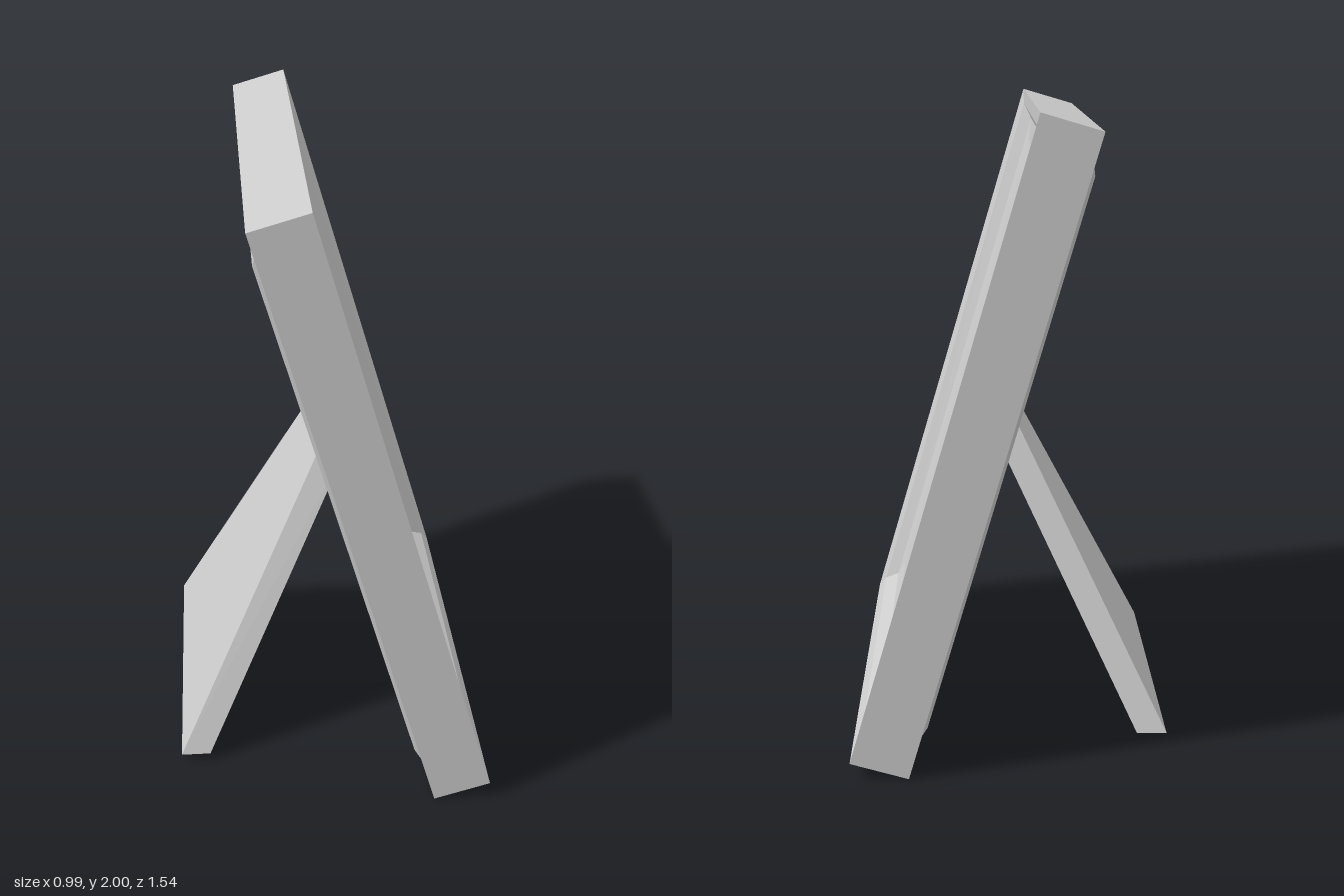
import * as THREE from 'three';

const material = new THREE.MeshStandardMaterial({ color: 0xcccccc, flatShading: true });

// Skins a series of four-cornered rings, with optional end caps.
function loft(name, rings, capStart, capEnd) {
  const pos = [];
  const tri = (a, b, c) => pos.push(...a, ...b, ...c);
  for (let r = 0; r < rings.length - 1; r++) {
    const A = rings[r], B = rings[r + 1];
    for (let i = 0; i < 4; i++) {
      const j = (i + 1) % 4;
      tri(A[i], A[j], B[j]);
      tri(A[i], B[j], B[i]);
    }
  }
  const s = rings[0], e = rings[rings.length - 1];
  if (capStart) { tri(s[0], s[2], s[1]); tri(s[0], s[3], s[2]); }
  if (capEnd) { tri(e[0], e[1], e[2]); tri(e[0], e[2], e[3]); }
  const g = new THREE.BufferGeometry();
  g.setAttribute('position', new THREE.Float32BufferAttribute(pos, 3));
  g.computeVertexNormals();
  const mesh = new THREE.Mesh(g, material);
  mesh.name = name;
  return mesh;
}

const W = 0.77, H = 1.0135, T = 0.0935; // half width, height and thickness

// Rectangle at depth x, inset from the outer edge in proportion to each side.
function rect(x, inset) {
  const w = W - inset, h = H * (1 - inset / W);
  return [[x, h, w], [x, h, -w], [x, -h, -w], [x, -h, w]];
}

// Four corners of the leg: rear edge, then front edge.
function legRing(xr, yr, zr, xf, yf, zf) {
  return [[xr, yr, zr], [xr, yr, -zr], [xf, yf, -zf], [xf, yf, zf]];
}

export function createModel() {
  const model = new THREE.Group();
  model.name = 'standingPictureFrame';

  // Leaning frame, facing +x
  const tilted = new THREE.Group();
  tilted.name = 'tiltedFrame';
  tilted.position.set(0.12, 1.0, 0);
  tilted.rotation.z = 0.285;

  tilted.add(
    // Rim, inner bevel and outer sides
    loft('frameBorder', [
      rect(T - 0.055, 0.07), rect(T - 0.015, 0.037), rect(T, 0),
      rect(-T, 0), rect(-T, 0.07),
    ]),
    // Recessed panel with a shallow sloping margin
    loft('picturePanel', [rect(T - 0.065, 0.125), rect(T - 0.055, 0.07)], true, false),
    // Raised, bevelled board on the back
    loft('backBoard', [rect(-T, 0.07), rect(-T - 0.019, 0.1)], false, true),
  );
  model.add(tilted);

  // Tapered easel leg, its top sunk into the back board
  model.add(loft('easelLeg', [
    legRing(0.05, 1.13, 0.155, 0.08, 1.01, 0.197),
    legRing(-0.5, 0.025, 0.52, -0.405, 0.025, 0.52),
  ], true, true));

  return model;
}
